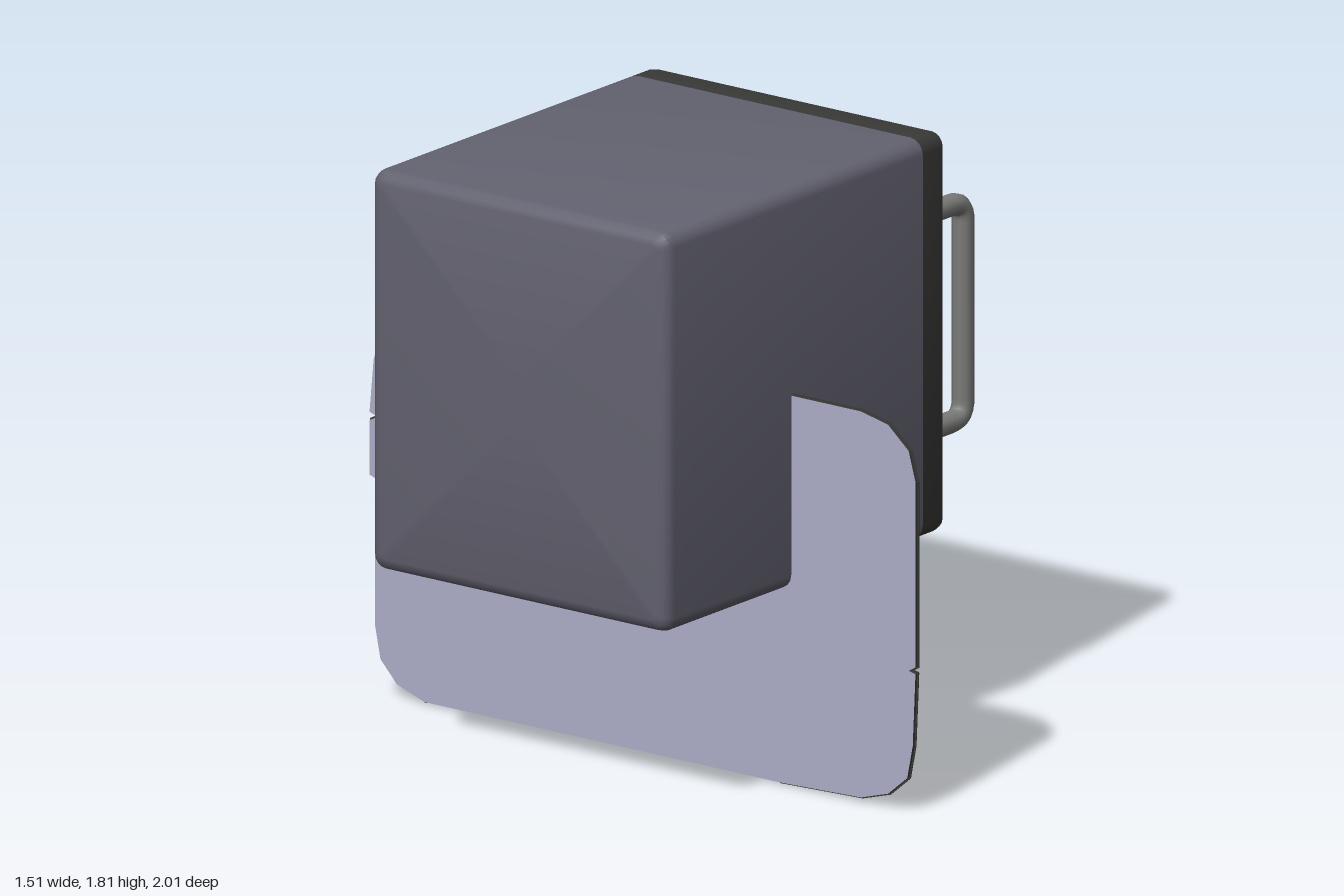
import * as THREE from 'three';
import { toCreasedNormals } from 'three/addons/utils/BufferGeometryUtils.js';

const mat = (name, color, side = THREE.FrontSide) => {
  const m = new THREE.MeshStandardMaterial({ color, side });
  m.name = name;
  return m;
};

// Rings of rounded rectangles [x, inset, cornerRadius], joined along x
const HALF_Z = 0.545, HALF_Y = 0.605, MID_Y = 1.195;
function loft(rings) {
  const pos = [], idx = [], steps = 4, n = 4 * (steps + 1);
  for (const [x, inset, r] of rings) {
    for (let c = 0; c < 4; c++) {
      const sz = c === 0 || c === 3 ? 1 : -1, sy = c < 2 ? 1 : -1;
      for (let s = 0; s <= steps; s++) {
        const a = (c + s / steps) * Math.PI / 2;
        pos.push(x, MID_Y + sy * (HALF_Y - inset - r) + r * Math.sin(a),
          sz * (HALF_Z - inset - r) + r * Math.cos(a));
      }
    }
  }
  for (let i = 0; i < rings.length - 1; i++) {
    for (let j = 0; j < n; j++) {
      const a = i * n + j, b = i * n + (j + 1) % n;
      idx.push(a, a + n, b, b, a + n, b + n);
    }
  }
  const g = new THREE.BufferGeometry();
  g.setAttribute('position', new THREE.Float32BufferAttribute(pos, 3));
  g.setIndex(idx);
  return toCreasedNormals(g, 0.6);
}

export function createModel() {
  const model = new THREE.Group();
  const slate = mat('slate', 0x62616f);
  const charcoal = mat('charcoal', 0x3a3a39);
  const grey = mat('grey', 0x7c7c7b);
  const lavender = mat('lavender', 0xacacc6);
  const white = mat('pale glass', 0xc6c8c2);
  const olive = mat('olive glass', 0xaab272);
  const add = (name, geo, material, parent = model) => {
    const m = new THREE.Mesh(geo, material);
    m.name = name;
    parent.add(m);
    return m;
  };

  // Hollow cabinet: rounded back, open towards the door
  add('cabinet', loft([
    [-0.757, HALF_Z, 0], [-0.757, 0.04, 0.02], [-0.751, 0.02, 0.03], [-0.737, 0.006, 0.04],
    [-0.717, 0, 0.045], [0.45, 0, 0.045], [0.45, 0.07, 0.03], [-0.69, 0.07, 0.03], [-0.69, HALF_Z, 0],
  ]), slate);

  // Door frame with soft edges around an open window
  add('doorFrame', loft([
    [0.45, 0.142, 0.04], [0.45, 0, 0.045], [0.53, 0, 0.045], [0.55, 0.005, 0.04], [0.564, 0.02, 0.035],
    [0.57, 0.04, 0.03], [0.57, 0.105, 0.06], [0.563, 0.125, 0.05], [0.54, 0.142, 0.04], [0.45, 0.142, 0.04],
  ]), charcoal);

  // Door handle: bar with bent ends
  const v = (x, y) => new THREE.Vector3(x, y, 0.485);
  const path = new THREE.CurvePath();
  path.add(new THREE.LineCurve3(v(0.55, 1.543), v(0.66, 1.543)));
  path.add(new THREE.QuadraticBezierCurve3(v(0.66, 1.543), v(0.717, 1.543), v(0.717, 1.485)));
  path.add(new THREE.LineCurve3(v(0.717, 1.485), v(0.717, 0.945)));
  path.add(new THREE.QuadraticBezierCurve3(v(0.717, 0.945), v(0.717, 0.887), v(0.66, 0.887)));
  path.add(new THREE.LineCurve3(v(0.66, 0.887), v(0.55, 0.887)));
  add('handle', new THREE.TubeGeometry(path, 60, 0.033, 10), grey);

  // Shelves: two wavy racks and one flat board
  for (const [name, y, wave] of [['upperRack', 1.37, 0.015], ['flatShelf', 1.088, 0], ['lowerRack', 0.812, 0.015]]) {
    const g = new THREE.BoxGeometry(1.1, 0.01, 0.95, 1, 1, 60);
    const p = g.attributes.position;
    for (let i = 0; i < p.count; i++) {
      p.setY(i, p.getY(i) - wave * Math.cos(p.getZ(i) * Math.PI * 10));
    }
    add(name, toCreasedNormals(g, 0.6), grey).position.set(-0.13, y, 0);
  }

  // Bottles lying with their necks towards the door
  function bottle(name, tip, y, z, r, glass, capMaterial) {
    const group = new THREE.Group();
    group.name = name;
    const L = r * 7.4;
    const profile = [[0, 0], [0.85, 0], [1, 0.02], [1, 0.56], [0.93, 0.62], [0.72, 0.7], [0.48, 0.78],
      [0.36, 0.84], [0.32, 0.97], [0, 0.97]].map(([a, b]) => new THREE.Vector2(a * r, b * L));
    add('bottleGlass', toCreasedNormals(new THREE.LatheGeometry(profile, 24), 0.7), glass, group);
    add('bottleCap', new THREE.CylinderGeometry(r * 0.35, r * 0.35, L * 0.08, 16), capMaterial, group)
      .position.y = L * 0.96;
    group.rotation.z = -Math.PI / 2;
    group.position.set(tip - L, y, z);
    model.add(group);
  }
  for (const z of [0.41, 0.01, -0.385]) bottle('upperBottle', 0.48, 1.455, z, 0.095, white, olive);
  for (const z of [0.4, 0.02, -0.37]) bottle('lowerBottle', 0.45, 0.89, z, 0.08, olive, charcoal);
  bottle('largeBottle', 0.37, 1.205, 0.37, 0.112, olive, charcoal);

  // Upright panel running through the cabinet; points are (z, y)
  const outline = [[0.8, 0.01], [0.9, 0.04], [0.97, 0.1], [0.99, 0.2], [1, 0.42], [0.975, 0.425], [1, 0.44],
    [1, 1], [0.975, 1.09], [0.9, 1.155], [0.8, 1.177], [-0.82, 1.177], [-0.9, 1.155], [-0.96, 1.09],
    [-0.985, 1], [-1, 0.84], [-0.97, 0.83], [-1, 0.815], [-1, 0.65], [-0.97, 0.64], [-0.98, 0.62],
    [-0.98, 0.2], [-0.96, 0.1], [-0.9, 0.035], [-0.8, 0], [0.5, 0]];
  const shape = new THREE.Shape(outline.map(([z, y]) => new THREE.Vector2(-z, y)));
  const panel = add('panel', new THREE.ExtrudeGeometry(shape, { depth: 0.01, bevelEnabled: false }),
    [lavender, charcoal]);
  panel.rotation.y = Math.PI / 2;
  panel.position.x = -0.17;

  // Thin dark seams on the panel
  const seams = [
    [[0.34, 0.72], [0.41, 0.77], [0.55, 0.79], [0.96, 0.81], [0.96, 1.03], [0.92, 1.11], [0.81, 1.16], [-0.77, 1.16],
      [-0.88, 1.11], [-0.945, 1], [-0.965, 0.81], [-0.975, 0.66], [-0.915, 0.605], [-0.75, 0.625],
      [-0.705, 0.56], [-0.965, 0.495], [-0.96, 0.2], [-0.91, 0.09], [-0.8, 0.05], [-0.65, 0.05],
      [-0.63, 0.36], [-0.45, 0.405], [-0.2, 0.48], [-0.13, 0.595]],
    [[-0.45, 0.405], [-0.425, 0.365], [-0.03, 0.485], [0.38, 0.275], [0.56, 0.04], [0.79, 0.04],
      [0.89, 0.075], [0.945, 0.17], [0.96, 0.385], [0.785, 0.425], [0.71, 0.79]],
    [[0.75, 0.79], [0.82, 0.47], [0.895, 0.535], [0.93, 0.475], [0.96, 0.535], [0.96, 0.81]],
    [[1, 0.405], [0.78, 0.5]],
    outline.concat([outline[0]]),
    [[0.98, 0.46], [0.98, 0.98], [0.955, 1.07], [0.89, 1.135], [0.8, 1.165]],
    [[0.98, 0.39], [0.97, 0.2], [0.95, 0.11], [0.89, 0.05], [0.8, 0.02]],
  ];
  const seamGroup = new THREE.Group();
  seamGroup.name = 'panelSeams';
  model.add(seamGroup);
  for (const line of seams) {
    for (let i = 0; i < line.length - 1; i++) {
      const [z0, y0] = line[i], [z1, y1] = line[i + 1];
      const s = add('seam', new THREE.BoxGeometry(0.003, 0.01, Math.hypot(z1 - z0, y1 - y0) + 0.005),
        charcoal, seamGroup);
      s.position.set(-0.16, Math.max((y0 + y1) / 2, 0.005), (z0 + z1) / 2);
      s.rotation.x = -Math.atan2(y1 - y0, z1 - z0);
    }
  }
  return model;
}
